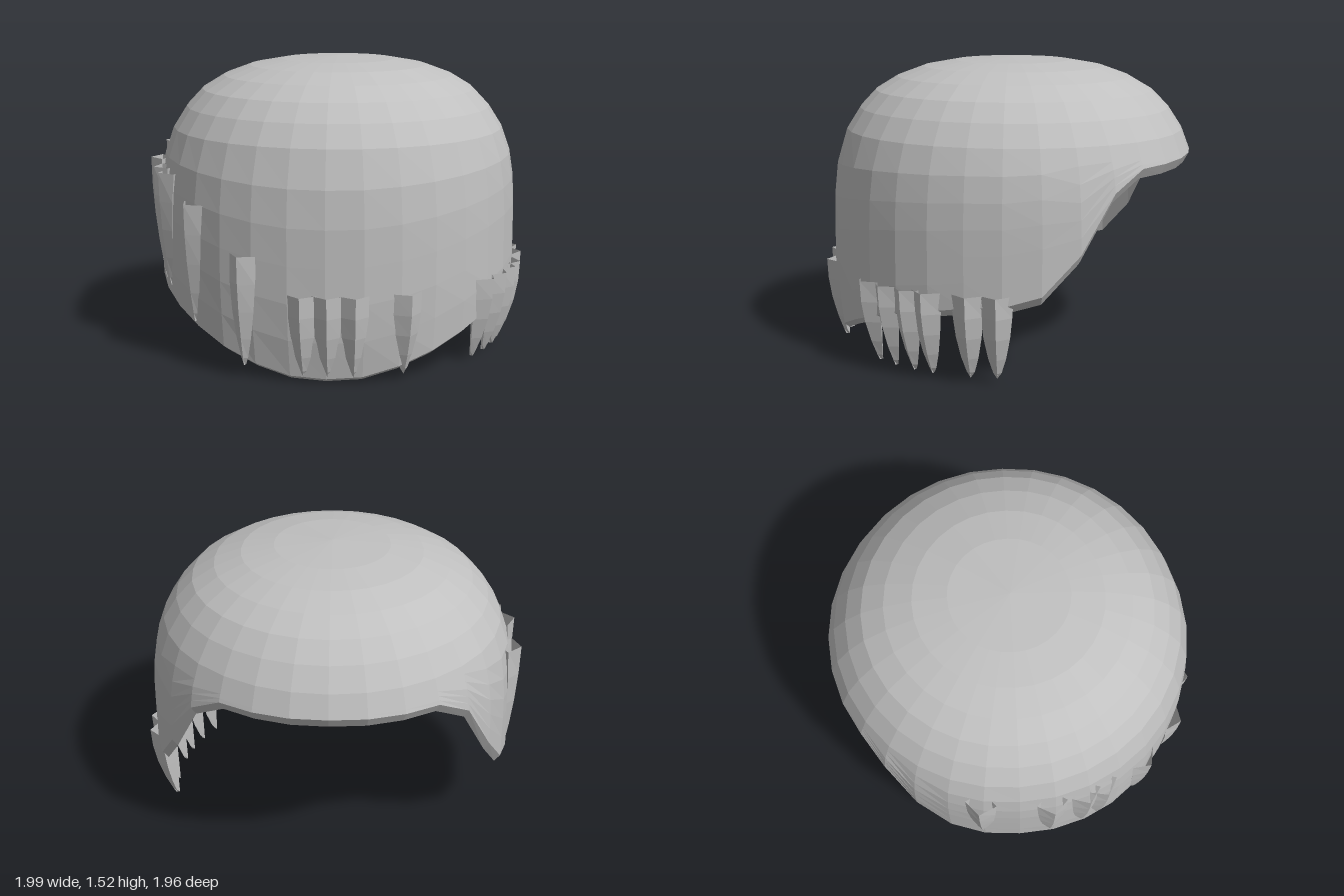
import * as THREE from 'three';

const rad = THREE.MathUtils.degToRad;
const lerp = THREE.MathUtils.lerp;
const grey = new THREE.MeshStandardMaterial({ color: 0xc0c0c0, side: THREE.DoubleSide });
grey.name = 'grey';

// Piecewise-linear lookup in [key, value] pairs with rising keys
function lookup(table, k) {
  if (k <= table[0][0]) return table[0][1];
  for (let i = 1; i < table.length; i++) {
    const [k0, v0] = table[i - 1], [k1, v1] = table[i];
    if (k <= k1) return v0 + (v1 - v0) * (k - k0) / (k1 - k0);
  }
  return table[table.length - 1][1];
}

// Faceted skin over closed rings, listed top to bottom on the outside
function skin(rings) {
  const pos = [];
  const tri = (a, b, c) => {
    if (a.distanceTo(b) > 1e-6 && b.distanceTo(c) > 1e-6 && c.distanceTo(a) > 1e-6) {
      pos.push(...a.toArray(), ...b.toArray(), ...c.toArray());
    }
  };
  for (let i = 0; i < rings.length - 1; i++) {
    const n = rings[i].length;
    for (let j = 0; j < n; j++) {
      const k = (j + 1) % n;
      tri(rings[i][j], rings[i][k], rings[i + 1][j]);
      tri(rings[i][k], rings[i + 1][k], rings[i + 1][j]);
    }
  }
  const g = new THREE.BufferGeometry();
  g.setAttribute('position', new THREE.Float32BufferAttribute(pos, 3));
  g.computeVertexNormals();
  return g;
}

// Crown rings as [y, radius], then the radius of the wall by height
const crown = [[1.52, 0], [1.503, 0.3], [1.472, 0.47], [1.42, 0.61], [1.35, 0.725], [1.26, 0.81], [1.15, 0.88]];
const wall = [[0, 0.905], [0.13, 0.935], [0.4, 0.956], [0.75, 0.955], [0.9, 0.945], [1.03, 0.924], [1.15, 0.88]];
// Height of the hem by angle from the side: back at -90, front at 90
const hem = [[-90, 1.035], [-56, 1.025], [-45, 0.925], [-33.5, 0.635], [-22, 0.44], [-14, 0.4],
  [0, 0.385], [22, 0.32], [37, 0.25], [52, 0.16], [65, 0.085], [78, 0.03], [90, 0.02]];

function shellGeometry() {
  const sides = 32, lowerRows = 6, outer = [], inner = [];
  for (let i = 0; i < crown.length + lowerRows; i++) {
    const ringOut = [], ringIn = [];
    for (let j = 0; j < sides; j++) {
      const a = (j / sides) * Math.PI * 2, s = Math.sin(a);
      let y, r, drop = -0.03;
      if (i < crown.length) {
        [y, r] = crown[i];
      } else {
        const t = (i - crown.length + 1) / lowerRows;
        y = lerp(1.15, lookup(hem, Math.asin(THREE.MathUtils.clamp(s, -1, 1)) * 180 / Math.PI), t);
        r = lookup(wall, y);
        drop = lerp(-0.03, -0.037 + 0.017 * s, t);
      }
      r *= 1 + 0.035 * Math.max(0, -s);
      const ri = Math.max(0, r - 0.03);
      ringOut.push(new THREE.Vector3(r * Math.cos(a), y, r * s));
      ringIn.push(new THREE.Vector3(ri * Math.cos(a), y + drop, ri * s));
    }
    outer.push(ringOut);
    inner.push(ringIn);
  }
  return skin([...outer, ...inner.reverse()]);
}

// Open-topped tapering diamond-section lock: x points outward, tip curls in to radius tipR
function lockGeometry(length, width, tipR) {
  const taper = [[0, 1], [0.25, 0.92], [0.5, 0.78], [0.75, 0.53], [0.93, 0.25], [1, 0]];
  return skin(taper.map(([t, w]) => {
    const ro = lerp(1.005, tipR, t ** 2), ri = lerp(0.885, tipR - 0.02, Math.sqrt(t));
    const mid = (ro + ri) / 2, y = -t * length, h = w * width / 2;
    return [
      new THREE.Vector3(ro, y, 0), new THREE.Vector3(mid, y, h),
      new THREE.Vector3(ri, y, 0), new THREE.Vector3(mid, y, -h),
    ];
  }));
}

export function createModel() {
  const model = new THREE.Group();
  model.name = 'hairCap';
  const body = new THREE.Group();
  body.name = 'hair';
  body.position.set(-0.012, 0, -0.02);
  model.add(body);

  const shell = new THREE.Mesh(shellGeometry(), grey);
  shell.name = 'hairShell';
  body.add(shell);

  const addLock = (name, angle, top, length, width, tipR) => {
    const lock = new THREE.Mesh(lockGeometry(length, width, tipR), grey);
    lock.name = name;
    lock.position.y = top;
    lock.rotation.y = -rad(angle);
    body.add(lock);
  };

  // Level locks hanging over the left side and the front
  for (const a of [-9.5, -1, 12, 19, 27, 35]) addLock('leftLock', a, 0.45, 0.43, 0.165, 0.89);
  for (const a of [65.5, 81.5, 89.5, 97]) addLock('frontLock', a, 0.45, 0.42, 0.16, 0.912);

  // Longer locks climbing along the right side: angle, top, length
  const climbing = [[115.5, 0.625, 0.56], [136, 0.835, 0.61], [153, 0.95, 0.6],
    [159, 0.965, 0.6], [170, 0.985, 0.6], [192, 1.02, 0.64]];
  for (const [a, top, len] of climbing) addLock('rightLock', a, top, len, 0.16, 0.95);

  return model;
}
